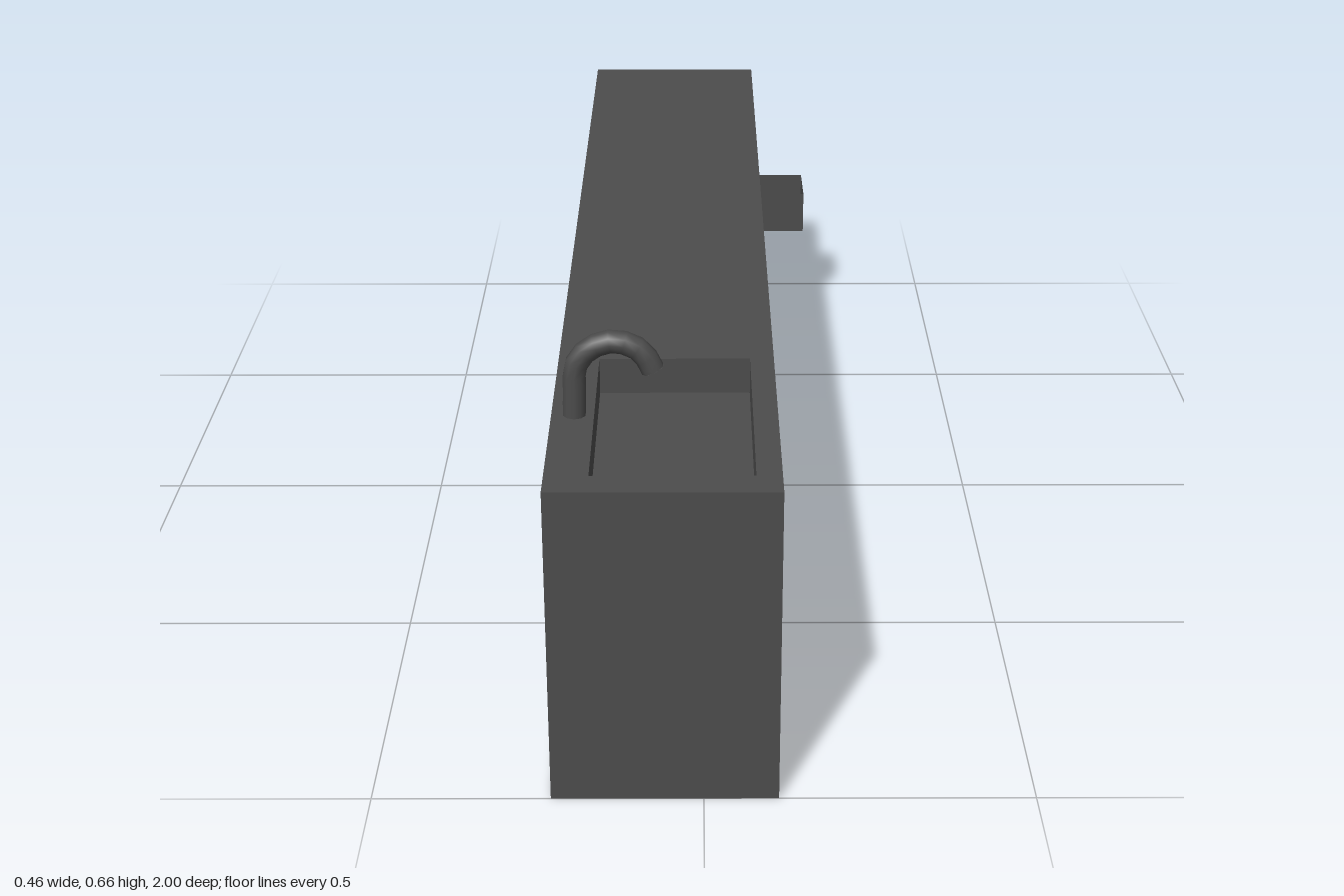
import * as THREE from 'three';

const X0 = -0.23, X1 = 0.113, H = 0.52;

// Box given by min and max corners, optionally without one side
// (0:+x 1:-x 2:+y 3:-y 4:+z 5:-z)
function boxBetween(a, b, openSide = -1) {
  const size = b.map((v, i) => v - a[i]);
  const g = new THREE.BoxGeometry(...size);
  g.translate(...a.map((v, i) => (v + b[i]) / 2));
  if (openSide >= 0) {
    g.setIndex([...g.index.array].filter((_, i) => Math.floor(i / 6) !== openSide));
    g.clearGroups();
  }
  return g;
}

function rectPath(path, [u0, u1, v0, v1]) {
  path.moveTo(u0, v0);
  path.lineTo(u1, v0);
  path.lineTo(u1, v1);
  path.lineTo(u0, v1);
  path.closePath();
  return path;
}

// Flat rectangle with rectangular openings
function panelWithHoles(rect, holes) {
  const shape = rectPath(new THREE.Shape(), rect);
  holes.forEach(h => shape.holes.push(rectPath(new THREE.Path(), h)));
  return new THREE.ShapeGeometry(shape);
}

export function createModel() {
  const group = new THREE.Group();
  const grey = new THREE.MeshStandardMaterial({ color: 0x4c4c4c, side: THREE.DoubleSide });
  grey.name = 'dark grey';
  const add = (name, geometry) => {
    const mesh = new THREE.Mesh(geometry, grey);
    mesh.name = name;
    group.add(mesh);
    return mesh;
  };

  // Openings in the cabinet front: [zMin, zMax, yMin, yMax]
  const niches = [
    [0.272, 0.482, 0.018, 0.245],
    [0.022, 0.237, 0.383, 0.495],
    [-0.775, -0.55, 0.368, 0.5],
    [-0.773, -0.555, 0.19, 0.336],
    [-0.78, -0.55, 0.015, 0.165],
  ];
  const doorOuter = [-0.455, -0.043, 0.038, 0.486];
  const doorInner = [-0.429, -0.067, 0.064, 0.457];
  const basin = [-0.165, 0.075, 0.55, 0.95]; // xMin, xMax, zMin, zMax

  // Cabinet shell: back, ends and underside
  const shell = boxBetween([X0, 0, -1], [X1, H, 1]);
  shell.setIndex([...shell.index.array].filter((_, i) => ![0, 2].includes(Math.floor(i / 6))));
  shell.clearGroups();
  add('cabinetShell', shell);

  // Cabinet front with openings
  const holes = [...niches, doorOuter].map(([z0, z1, y0, y1]) => [-z1, -z0, y0, y1]);
  add('cabinetFront', panelWithHoles([-1, 1, 0, H], holes).rotateY(Math.PI / 2).translate(X1, 0, 0));
  niches.forEach(([z0, z1, y0, y1]) =>
    add('niche', boxBetween([X1 - 0.2, y0, z0], [X1, y1, z1], 0)));

  // Worktop with sink basin
  add('worktop', panelWithHoles([X0, X1, -1, 1], [[basin[0], basin[1], -basin[3], -basin[2]]])
    .rotateX(-Math.PI / 2).translate(0, H, 0));
  add('sinkBasin', boxBetween([basin[0], H - 0.06, basin[2]], [basin[1], H, basin[3]], 2));

  // Bevelled recess around the door
  const corners = ([z0, z1, y0, y1], x) => [[x, y0, z1], [x, y0, z0], [x, y1, z0], [x, y1, z1]];
  const outer = corners(doorOuter, X1), inner = corners(doorInner, X1 - 0.027);
  const bevel = [];
  for (let i = 0; i < 4; i++) {
    const j = (i + 1) % 4;
    bevel.push(...outer[i], ...outer[j], ...inner[j], ...outer[i], ...inner[j], ...inner[i]);
  }
  const bevelGeometry = new THREE.BufferGeometry();
  bevelGeometry.setAttribute('position', new THREE.Float32BufferAttribute(bevel, 3));
  bevelGeometry.computeVertexNormals();
  add('doorBevel', bevelGeometry);
  const [dz0, dz1, dy0, dy1] = doorInner;
  add('door', boxBetween([X1 - 0.027, dy0, dz0], [0.117, dy1, dz1]));

  // Pulled-out drawer, open on top
  add('drawer', boxBetween([X1, 0.189, -0.977], [0.228, 0.277, -0.853], 2));

  // Curved tap
  const path = [[-0.195, 0.52], [-0.194, 0.56], [-0.191, 0.602], [-0.17, 0.629], [-0.133, 0.641],
    [-0.1, 0.63], [-0.085, 0.614], [-0.076, 0.595]].map(([x, y]) => new THREE.Vector3(x, y, 0.75));
  add('tap', new THREE.TubeGeometry(new THREE.CatmullRomCurve3(path), 11, 0.018, 10));
  const tip = add('tapOutlet', new THREE.CircleGeometry(0.018, 10));
  tip.position.copy(path[7]);
  tip.rotation.set(Math.PI / 2, 0.4, 0);

  return group;
}
